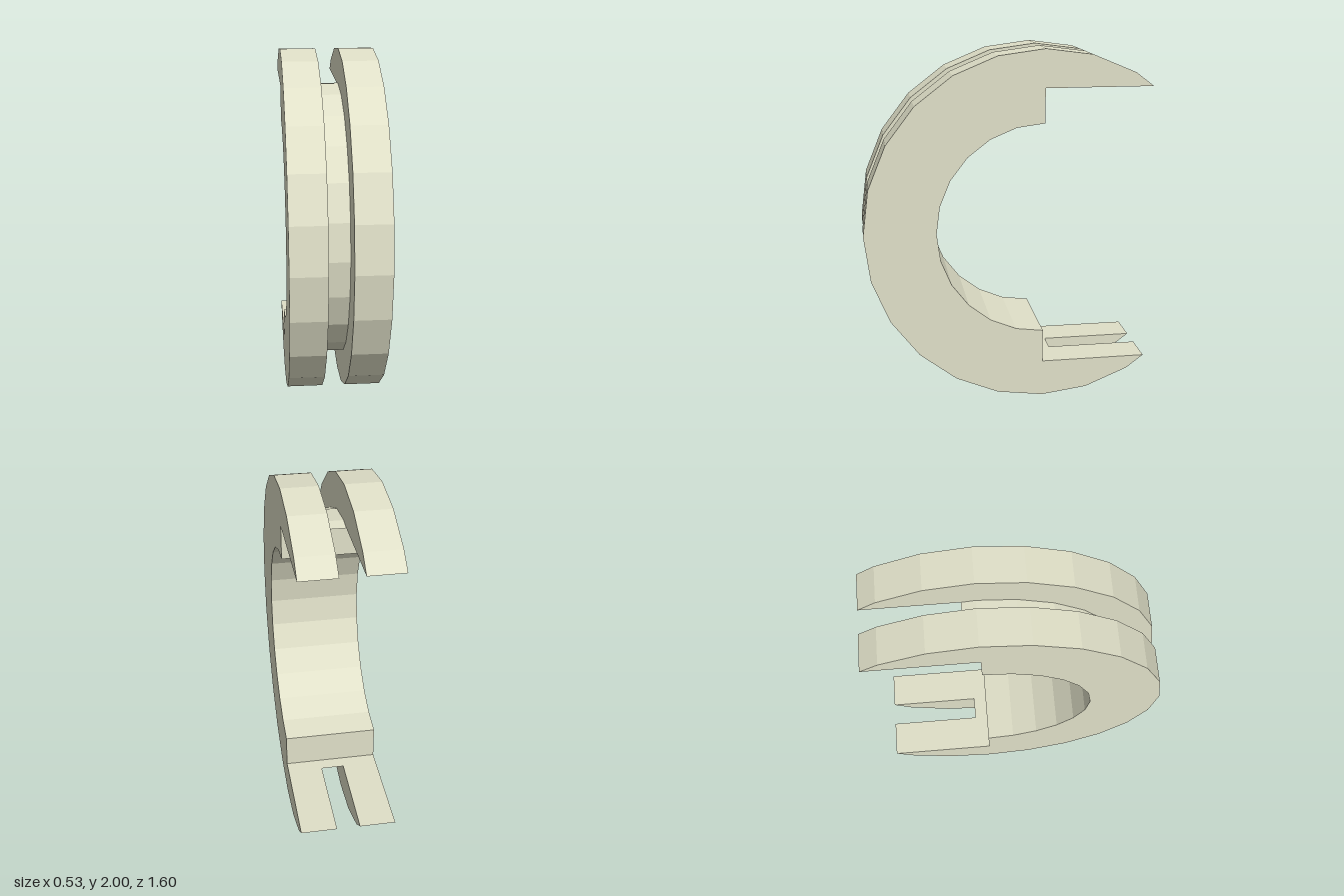
import * as THREE from 'three';

const SIDES = 24;
const INNER = 0.6;
const STEP = 0.79; // half height of the rear opening
const CENTRE_Z = -0.2;

// C-shaped section: faceted outer arc, stepped rear ends, faceted inner arc
function cProfile(radius, quarterExtra, tipZ) {
  const quarter = SIDES / 4;
  const point = (r, i) => {
    const a = (i / SIDES) * Math.PI * 2;
    return new THREE.Vector2(r * Math.cos(a), r * Math.sin(a));
  };
  const pts = [new THREE.Vector2(tipZ, -STEP)];
  for (let i = -quarter - quarterExtra; i <= quarter + quarterExtra; i++) pts.push(point(radius, i));
  pts.push(new THREE.Vector2(tipZ, STEP), new THREE.Vector2(0, STEP));
  for (let i = quarter; i >= -quarter; i--) pts.push(point(INNER, i));
  pts.push(new THREE.Vector2(0, -STEP));
  return new THREE.Shape(pts);
}

export function createModel() {
  const group = new THREE.Group();
  group.name = 'groovedClip';
  const material = new THREE.MeshStandardMaterial({ color: 0xe0e0c8, flatShading: true });

  function addSlab(name, shape, width, x) {
    const geometry = new THREE.ExtrudeGeometry(shape, { depth: width, bevelEnabled: false });
    geometry.translate(0, 0, -width / 2);
    geometry.rotateY(-Math.PI / 2); // section plane becomes z-y
    const mesh = new THREE.Mesh(geometry, material);
    mesh.name = name;
    mesh.position.set(x, 1, CENTRE_Z);
    group.add(mesh);
  }

  // Two full-size flanges with long pointed rear tips
  const flange = cProfile(1, 2, -0.6);
  addSlab('leftFlange', flange, 0.2, 0.165);
  addSlab('rightFlange', flange, 0.2, -0.165);

  // Smaller core that forms the floor of the groove
  addSlab('grooveCore', cProfile(0.8, 0, -0.077), 0.13, 0);

  return group;
}
